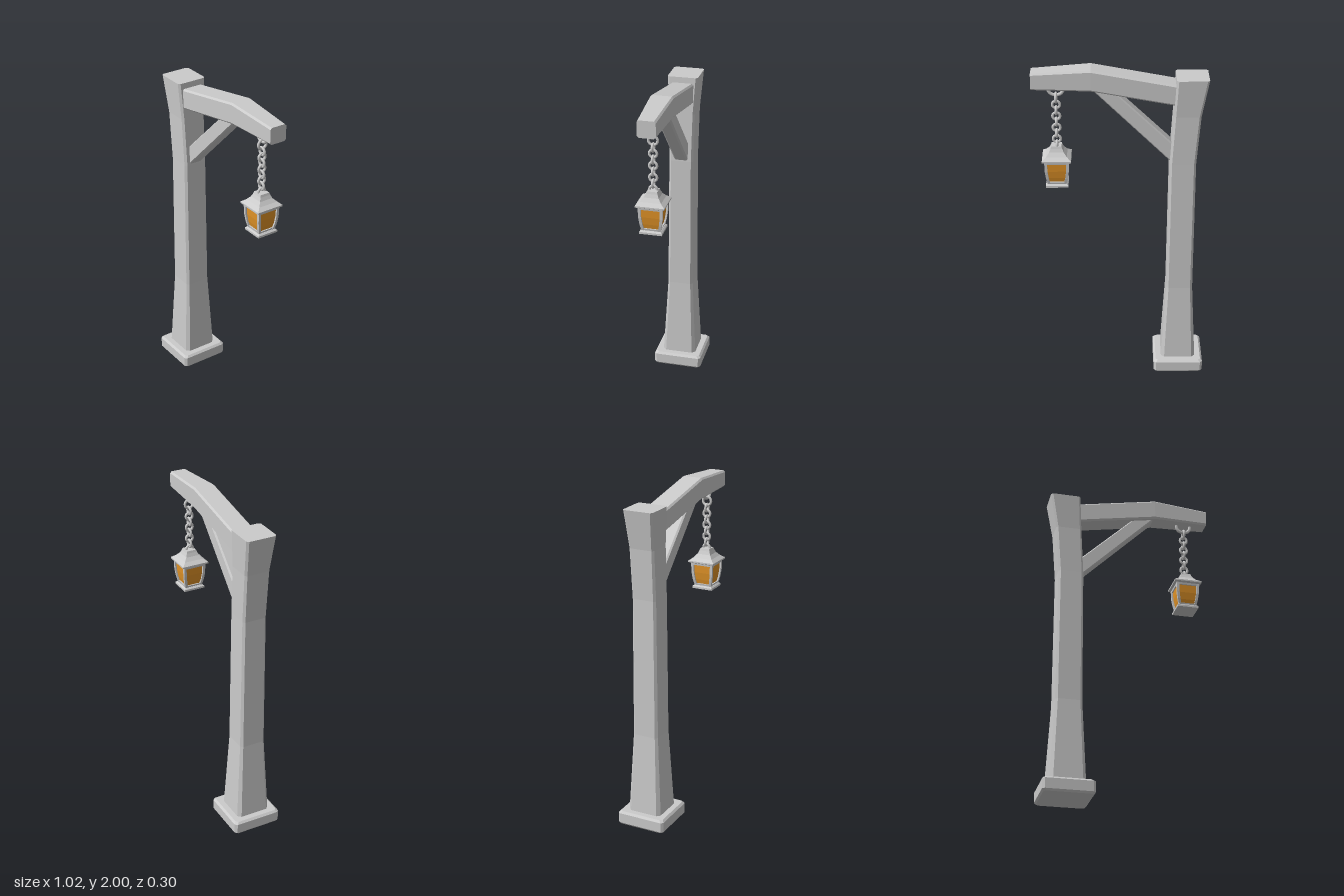
import * as THREE from 'three';

const grey = new THREE.MeshStandardMaterial({ color: 0xcccccc, flatShading: true });
const metal = new THREE.MeshStandardMaterial({ color: 0xcccccc });
const amber = new THREE.MeshStandardMaterial({ color: 0xe29428, flatShading: true });

const X = new THREE.Vector3(1, 0, 0);
const Y = new THREE.Vector3(0, 1, 0);
const Z = new THREE.Vector3(0, 0, 1);

// Rectangle with cut corners, spanned by directions u and v around a centre
function ring(center, u, v, hu, hv, c = 0) {
  const corners = c > 0
    ? [[hu, hv - c], [hu - c, hv], [c - hu, hv], [-hu, hv - c], [-hu, c - hv], [c - hu, -hv], [hu - c, -hv], [hu, c - hv]]
    : [[hu, hv], [-hu, hv], [-hu, -hv], [hu, -hv]];
  return corners.map(([a, b]) =>
    new THREE.Vector3(...center).addScaledVector(u, a).addScaledVector(v, b));
}

const level = (x, y, z, h, c = 0) => ring([x, y, z], X, Z, h, h, c);

// Closed solid skinned over a row of rings, faces turned outward
function loft(name, rings, material = grey) {
  const tris = [];
  const n = rings[0].length;
  for (let r = 0; r < rings.length - 1; r++) {
    for (let i = 0; i < n; i++) {
      const j = (i + 1) % n;
      const a = rings[r][i], b = rings[r][j], c = rings[r + 1][j], d = rings[r + 1][i];
      tris.push([a, b, c], [a, c, d]);
    }
  }
  const first = rings[0], last = rings[rings.length - 1];
  for (let i = 1; i < n - 1; i++) {
    tris.push([first[0], first[i + 1], first[i]], [last[0], last[i], last[i + 1]]);
  }
  let volume = 0;
  for (const [a, b, c] of tris) volume += a.dot(b.clone().cross(c));
  if (volume < 0) tris.forEach((t) => t.reverse());
  const geometry = new THREE.BufferGeometry().setFromPoints(tris.flat());
  geometry.computeVertexNormals();
  const mesh = new THREE.Mesh(geometry, material);
  mesh.name = name;
  return mesh;
}

function createChain(x) {
  const chain = new THREE.Group();
  chain.name = 'chain';

  // U-shaped staple under the beam
  const staple = new THREE.CatmullRomCurve3(
    [[-0.043, 1.885], [-0.043, 1.86], [-0.028, 1.838], [0, 1.83], [0.028, 1.838], [0.043, 1.86], [0.043, 1.885]]
      .map(([dx, y]) => new THREE.Vector3(x + dx, y, 0)));
  const hook = new THREE.Mesh(new THREE.TubeGeometry(staple, 20, 0.01, 8), metal);
  hook.name = 'staple';
  chain.add(hook);

  // Links alternate between facing the side and facing the front
  for (let i = 0; i < 9; i++) {
    const first = i === 0;
    const link = new THREE.Mesh(new THREE.TorusGeometry(first ? 0.027 : 0.022, 0.008, 8, 16), metal);
    link.name = 'chainLink';
    link.position.set(x, first ? 1.813 : 1.806 - i * 0.0358, 0);
    if (i % 2 === 0) link.rotation.y = Math.PI / 2;
    chain.add(link);
  }
  return chain;
}

function createLantern(x) {
  const lantern = new THREE.Group();
  lantern.name = 'lantern';
  const stack = (name, profile, material) =>
    lantern.add(loft(name, profile.map(([y, h]) => level(x, y, 0, h)), material));

  stack('lanternRoof', [[1.432, 0.076], [1.437, 0.085], [1.446, 0.085], [1.464, 0.061], [1.485, 0.043], [1.505, 0.034], [1.518, 0.03]]);
  stack('topRim', [[1.419, 0.069], [1.434, 0.071]]);
  stack('glass', [[1.29, 0.046], [1.325, 0.054], [1.37, 0.06], [1.425, 0.062]], amber);
  stack('bottomRim', [[1.284, 0.053], [1.299, 0.056]]);
  stack('bottomPlate', [[1.268, 0.066], [1.28, 0.066], [1.288, 0.057]]);

  // Curved corner bars
  for (const sx of [-1, 1]) {
    for (const sz of [-1, 1]) {
      const bar = [[1.285, 0.047], [1.325, 0.056], [1.37, 0.062], [1.434, 0.064]];
      lantern.add(loft('cornerBar', bar.map(([y, h]) => level(x + sx * h, y, sz * h, 0.008))));
    }
  }
  return lantern;
}

export function createModel() {
  const model = new THREE.Group();
  model.name = 'lampPost';

  // Bevelled foot
  model.add(loft('base', [[0, 0.142], [0.012, 0.152], [0.073, 0.152], [0.085, 0.14]]
    .map(([y, h]) => level(-0.36, y, 0, h, 0.014))));

  // Flared post leaning back at the top: y, centre x, half width, half depth, chamfer
  model.add(loft('post', [
    [0.08, -0.36, 0.106, 0.106, 0.02],
    [0.58, -0.36, 0.08, 0.08, 0.014],
    [1.42, -0.363, 0.077, 0.075, 0.013],
    [1.72, -0.383, 0.079, 0.078, 0.012],
    [1.945, -0.409, 0.093, 0.092, 0.012],
  ].map(([y, cx, hx, hz, c]) => ring([cx, y, 0], X, Z, hx, hz, c))));

  // Bent beam: x, bottom, top, half depth
  model.add(loft('beam', [
    [-0.34, 1.78, 1.905, 0.067],
    [0.17, 1.873, 2.0, 0.067],
    [0.51, 1.877, 1.977, 0.053],
  ].map(([x, lo, hi, hz]) => ring([x, (lo + hi) / 2, 0], Y, Z, (hi - lo) / 2, hz, 0.01))));

  // Diagonal brace, cut upright at the post and level at the beam
  model.add(loft('brace', [
    ring([-0.31, 1.468, 0], Y, Z, 0.063, 0.042, 0.01),
    ring([0.117, 1.885, 0], X.clone().negate(), Z, 0.058, 0.042, 0.01),
  ]));

  model.add(createChain(0.37), createLantern(0.373));
  return model;
}
